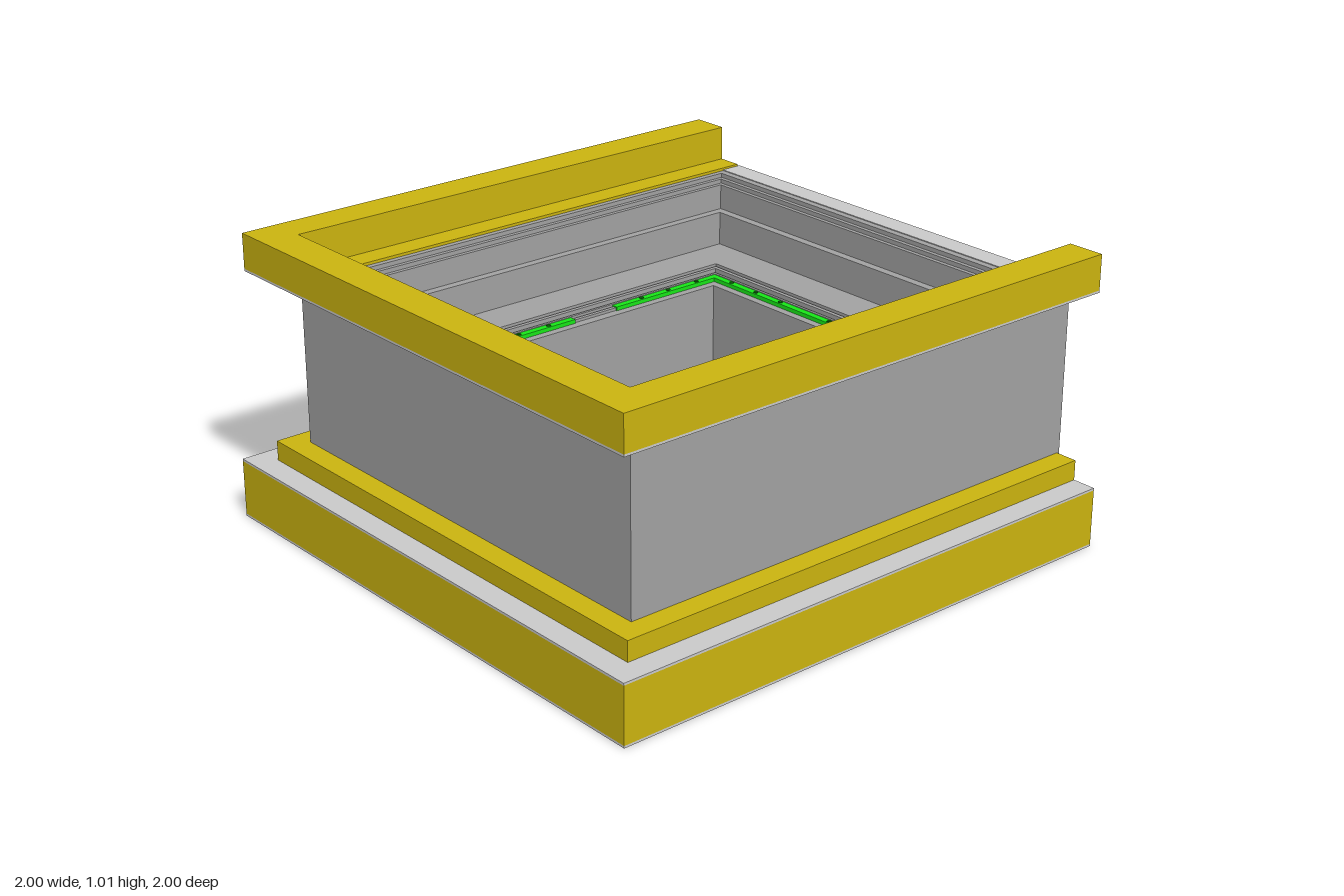
import * as THREE from 'three';

const mat = (color) => new THREE.MeshStandardMaterial({ color, flatShading: true });
const GAP = 0.0825;   // the well is longer than wide by this much at each end
const BACK = -0.99;   // open rear end of the rails

export function createModel() {
  const model = new THREE.Group();
  const lightGrey = mat(0xcccccc), grey = mat(0xa3a3a3), yellow = mat(0xccb510);
  const green = mat(0x18e818), darkGreen = mat(0x0a700a);

  const add = (name, geometry, material, parent = model) => {
    const mesh = new THREE.Mesh(geometry, material);
    mesh.name = name;
    parent.add(mesh);
    return mesh;
  };
  const box = (name, x0, x1, y0, y1, z0, z1, material, parent) => {
    const m = add(name, new THREE.BoxGeometry(x1 - x0, y1 - y0, z1 - z0), material, parent);
    m.position.set((x0 + x1) / 2, (y0 + y1) / 2, (z0 + z1) / 2);
    return m;
  };

  // Closed profile of [half width, height] carried around the rectangular plan
  const sweep = (profile) => {
    const corners = [[1, 1], [1, -1], [-1, -1], [-1, 1]];
    const at = (i, k) => {
      const [sx, sz] = corners[i % 4], [a, y] = profile[k % profile.length];
      return [sx * a, y, sz * (a + GAP) - GAP];
    };
    const pos = [];
    for (let i = 0; i < 4; i++) {
      for (let k = 0; k < profile.length; k++) {
        const A = at(i, k), B = at(i + 1, k), C = at(i + 1, k + 1), D = at(i, k + 1);
        pos.push(...A, ...B, ...C, ...A, ...C, ...D);
      }
    }
    const g = new THREE.BufferGeometry();
    g.setAttribute('position', new THREE.Float32BufferAttribute(pos, 3));
    g.computeVertexNormals();
    return g;
  };

  // Flat U (left, front and right sides) between half widths a0 and a1
  const uBar = (a0, a1, y0, y1) => {
    const pts = [[-a1, -BACK], [-a1, -a1], [a1, -a1], [a1, -BACK],
      [a0, -BACK], [a0, -a0], [-a0, -a0], [-a0, -BACK]];
    const shape = new THREE.Shape(pts.map(([x, y]) => new THREE.Vector2(x, y)));
    const g = new THREE.ExtrudeGeometry(shape, { depth: y1 - y0, bevelEnabled: false });
    return g.rotateX(-Math.PI / 2).translate(0, y0, 0);
  };

  // Hollow U-shaped rail with inner webs, seen at the open ends
  const channel = (name, a0, a1, y0, y1, webs, topMat, bottomMat) => {
    const t = 0.008, group = new THREE.Group();
    group.name = name;
    model.add(group);
    add('outerWall', uBar(a1 - t, a1, y0 + t, y1 - t), yellow, group);
    add('innerWall', uBar(a0, a0 + t, y0 + t, y1 - t), yellow, group);
    add('topPlate', uBar(a0, a1, y1 - t, y1), topMat, group);
    add('bottomPlate', uBar(a0, a1, y0, y0 + t), bottomMat, group);
    for (let i = 1; i <= webs; i++) {
      const y = y0 + (y1 - y0) * i / (webs + 1);
      add('web', uBar(a0 + t, a1 - t, y - t / 2, y + t / 2), yellow, group);
    }
    return group;
  };

  // Main block with its stepped well
  add('body', sweep([
    [0.835, 0.21], [0.835, 0.88],
    [0.73, 0.88], [0.73, 0.865], [0.715, 0.865], [0.715, 0.85], [0.70, 0.85],
    [0.70, 0.76], [0.67, 0.76], [0.67, 0.64],
    [0.52, 0.64], [0.52, 0.625], [0.51, 0.625], [0.51, 0.635],
    [0.495, 0.635], [0.495, 0.615], [0.485, 0.615], [0.485, 0.625],
    [0.475, 0.625], [0.475, 0.61], [0.42, 0.61],
    [0.42, 0.31], [0.52, 0.31], [0.52, 0.21],
  ]), grey);
  add('lowerLiner', sweep([[0.52, 0.21], [0.52, 0.31], [0.42, 0.31], [0.42, 0.21]]), lightGrey);
  box('backWallCap', -0.75, 0.75, 0.875, 0.883, -1, -0.92, lightGrey);

  // Upper rail and its flange over the wall top
  channel('upperRail', 0.835, 0.965, 0.88, 1.01, 1, yellow, lightGrey);
  add('upperFlange', uBar(0.75, 0.84, 0.88, 0.89), yellow);

  // Lower rail, stepped lip against the body, and flange beneath the body
  channel('lowerRail', 0.915, 1, 0, 0.21, 2, lightGrey, lightGrey);
  channel('lowerLip', 0.835, 0.915, 0.2, 0.28, 0, yellow, yellow);
  add('lowerFlange', uBar(0.75, 0.92, 0.2, 0.209), yellow);
  box('ledgeCover', -1, -0.915, 0.208, 0.212, BACK, 0.5, yellow);

  // Green seal with studs, interrupted by a grey block on both sides
  const seal = new THREE.Group();
  seal.name = 'seal';
  model.add(seal);
  const stud = (x, z) => {
    const m = add('stud', new THREE.CylinderGeometry(0.008, 0.008, 0.006, 10), darkGreen, seal);
    m.position.set(x, 0.624, z);
  };
  const frontZ = 0.46, backZ = -0.46 - 2 * GAP;
  for (const z of [frontZ, backZ]) {
    box('sealEnd', -0.473, 0.473, 0.608, 0.624, z - 0.012, z + 0.012, green, seal);
    for (const x of [0.12, 0.245, 0.37]) { stud(x, z); stud(-x, z); }
  }
  for (const s of [-1, 1]) {
    const x = s * 0.46;
    box('sealSide', x - 0.012, x + 0.012, 0.608, 0.624, 0.01, frontZ - 0.012, green, seal);
    box('sealSide', x - 0.012, x + 0.012, 0.608, 0.624, backZ + 0.012, -0.17, green, seal);
    box('sealGapBlock', x - 0.007, x + 0.007, 0.608, 0.62, -0.17, 0.01, grey, seal);
    for (const z of [0.37, 0.24, 0.115, -0.29, -0.41, -0.54]) stud(x, z);
  }
  return model;
}
